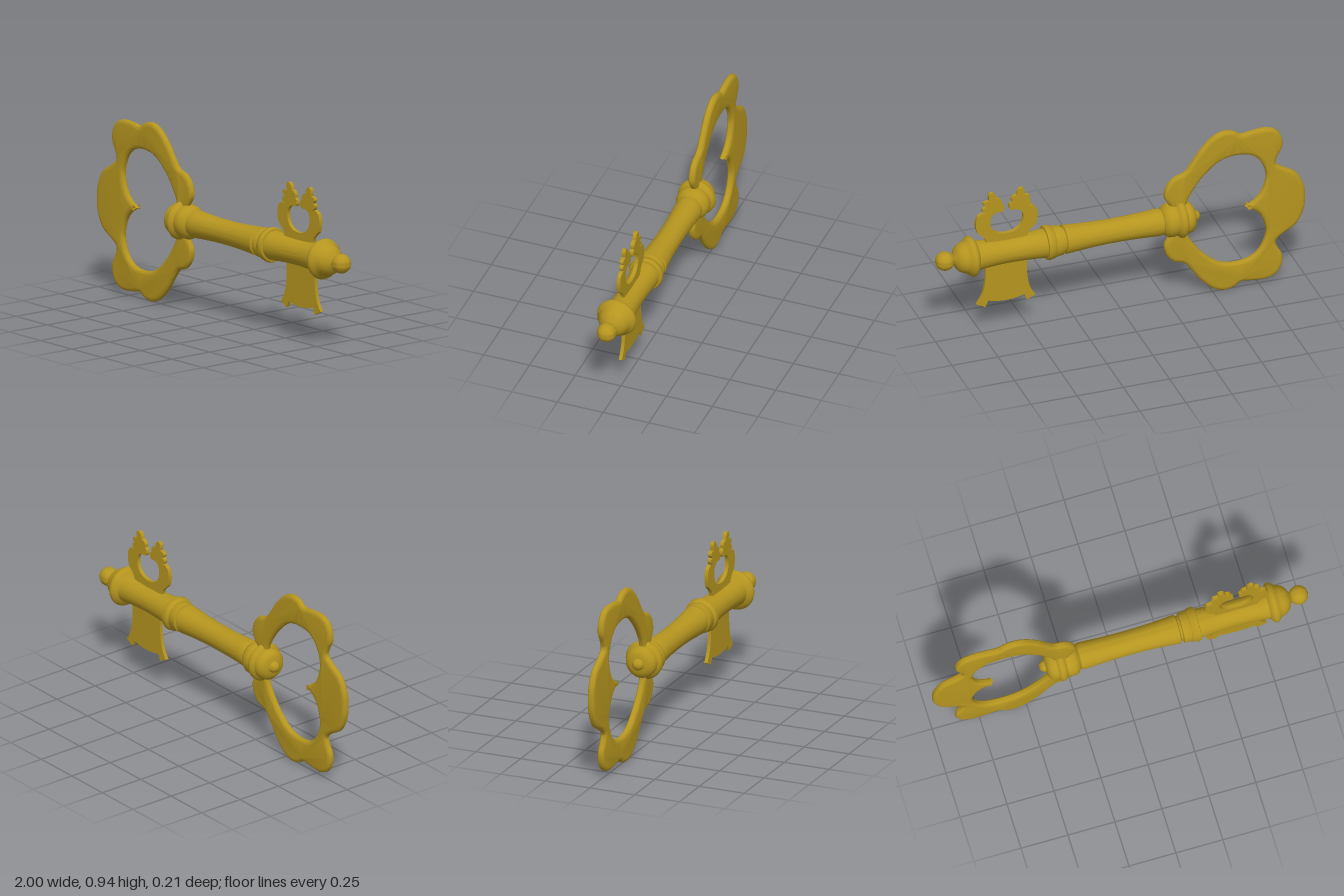
import * as THREE from 'three';
import { toCreasedNormals } from 'three/addons/utils/BufferGeometryUtils.js';

const AXIS_Y = 0.471; // height of the shaft axis
const brass = new THREE.MeshStandardMaterial({ color: 0xb5951f });

const toVectors = (pairs) => pairs.map(([x, y]) => new THREE.Vector2(x, y));
const smooth = (pairs, n) => new THREE.SplineCurve(toVectors(pairs)).getPoints(n);
// closes a half outline by reflecting it about the shaft axis, sharing its end points
const mirrorY = (pts) => [...pts, ...pts.slice(1, -1).reverse().map((p) => new THREE.Vector2(p.x, 2 * AXIS_Y - p.y))];
// closes a half outline by reflecting it about the upright line at x
const mirrorX = (pts, x) => [...pts, ...pts.slice().reverse().map((p) => new THREE.Vector2(2 * x - p.x, p.y))];

function part(name, geometry, crease = 0.6) {
  const mesh = new THREE.Mesh(toCreasedNormals(geometry, crease), brass);
  mesh.name = name;
  return mesh;
}

// lobed handle with a heart-shaped opening and rounded edges
function makeBow() {
  const outer = smooth([
    [-1, AXIS_Y], [-0.993, 0.54], [-0.953, 0.62], [-0.88, 0.667], [-0.842, 0.7], [-0.85, 0.74],
    [-0.875, 0.79], [-0.873, 0.845], [-0.845, 0.893], [-0.79, 0.916], [-0.71, 0.913], [-0.654, 0.906],
    [-0.615, 0.93], [-0.56, 0.94], [-0.5, 0.918], [-0.435, 0.857], [-0.387, 0.79], [-0.345, 0.738],
    [-0.29, 0.718], [-0.25, 0.675], [-0.237, 0.615], [-0.262, 0.565], [-0.285, 0.53], [-0.27, AXIS_Y],
  ], 120);
  const inner = smooth([
    [-0.676, AXIS_Y], [-0.722, 0.498], [-0.757, 0.533], [-0.78, 0.585], [-0.788, 0.65], [-0.756, 0.73],
    [-0.697, 0.777], [-0.61, 0.788], [-0.526, 0.765], [-0.446, 0.697], [-0.393, 0.628], [-0.36, 0.563],
    [-0.345, AXIS_Y],
  ], 70);
  const shape = new THREE.Shape(mirrorY(outer).reverse());
  shape.holes.push(new THREE.Path(mirrorY(inner)));
  const geometry = new THREE.ExtrudeGeometry(shape, {
    depth: 0.006, bevelThickness: 0.016, bevelSize: 0.022, bevelOffset: -0.022, bevelSegments: 5,
  });
  geometry.translate(0, 0, -0.003);
  return part('bow', geometry, 0.8);
}

// turned profile, as [position along x, radius]
function makeShaft() {
  const collar = [
    [-0.43, 0], [-0.427, 0.016], [-0.415, 0.027], [-0.4, 0.031], [-0.397, 0.052], [-0.389, 0.068],
    [-0.375, 0.08], [-0.357, 0.085], [-0.346, 0.084], [-0.34, 0.094], [-0.327, 0.102], [-0.313, 0.1],
    [-0.304, 0.091], [-0.297, 0.084], [-0.28, 0.088], [-0.255, 0.088], [-0.235, 0.077], [-0.225, 0.061],
    [-0.22, 0.068],
  ];
  const stem = [[-0.2, 0.071], [-0.08, 0.065], [0.05, 0.063], [0.18, 0.067], [0.305, 0.076]];
  const rings = [
    [0.31, 0.065], [0.32, 0.065], [0.324, 0.077], [0.362, 0.082], [0.366, 0.079], [0.372, 0.087],
    [0.4, 0.092], [0.41, 0.087], [0.412, 0.076],
  ];
  const neck = [[0.42, 0.076], [0.52, 0.069], [0.62, 0.067], [0.7, 0.07], [0.78, 0.077]];
  const tip = [
    [0.787, 0.088], [0.798, 0.102], [0.81, 0.106], [0.822, 0.102], [0.831, 0.093], [0.842, 0.084],
    [0.858, 0.079], [0.876, 0.07], [0.892, 0.054], [0.901, 0.033], [0.91, 0.02], [0.95, 0],
  ];
  const profile = [
    ...toVectors(collar), ...smooth(stem, 14), ...toVectors(rings), ...smooth(neck, 12), ...toVectors(tip),
  ].map((p) => new THREE.Vector2(p.y, p.x));
  const geometry = new THREE.LatheGeometry(profile, 48);
  geometry.rotateZ(-Math.PI / 2).translate(0, AXIS_Y, 0);
  return part('shaft', geometry, 0.8);
}

function makePlate(name, points, z0, z1) {
  const geometry = new THREE.ExtrudeGeometry(new THREE.Shape(points), { depth: z1 - z0, bevelEnabled: false });
  geometry.translate(0, 0, z0);
  return part(name, geometry, 0.5);
}

// open ring with scalloped wings above the shaft
function makeCrest() {
  const half = [
    [[0.505, 0.47], [0.505, 0.54], [0.492, 0.575], [0.458, 0.606], [0.449, 0.66], [0.46, 0.7], [0.488, 0.714], [0.508, 0.709]],
    [[0.508, 0.709], [0.49, 0.722], [0.488, 0.74], [0.506, 0.747]],
    [[0.506, 0.747], [0.491, 0.762], [0.496, 0.778], [0.522, 0.782]],
    [[0.522, 0.782], [0.519, 0.805], [0.526, 0.823], [0.543, 0.825], [0.557, 0.81], [0.562, 0.79]],
    [[0.562, 0.79], [0.58, 0.784], [0.59, 0.77], [0.588, 0.752]],
    [[0.588, 0.752], [0.601, 0.742], [0.602, 0.718], [0.588, 0.708], [0.565, 0.709]],
    [[0.565, 0.709], [0.54, 0.695], [0.527, 0.66], [0.538, 0.614], [0.572, 0.584], [0.612, 0.576]],
  ].flatMap((run, i) => smooth(run, 14).slice(i ? 1 : 0));
  return makePlate('crest', mirrorX(half, 0.617), -0.01, 0.01);
}

// flared plate with two feet below the shaft
function makeBit() {
  const side = smooth([[0.5, 0.47], [0.509, 0.4], [0.511, 0.34], [0.502, 0.27], [0.487, 0.225], [0.464, 0.188]], 18);
  const base = smooth([[0.526, 0.2], [0.57, 0.189], [0.618, 0.185]], 8);
  const half = [...side, new THREE.Vector2(0.51, 0.165), ...base];
  return makePlate('bit', mirrorX(half, 0.623), -0.018, 0);
}

export function createModel() {
  const group = new THREE.Group();
  group.name = 'key';
  const ball = part('endBall', new THREE.SphereGeometry(0.05, 32, 20));
  ball.position.set(0.95, AXIS_Y, 0);
  group.add(makeBow(), makeShaft(), ball, makeCrest(), makeBit());
  return group;
}
